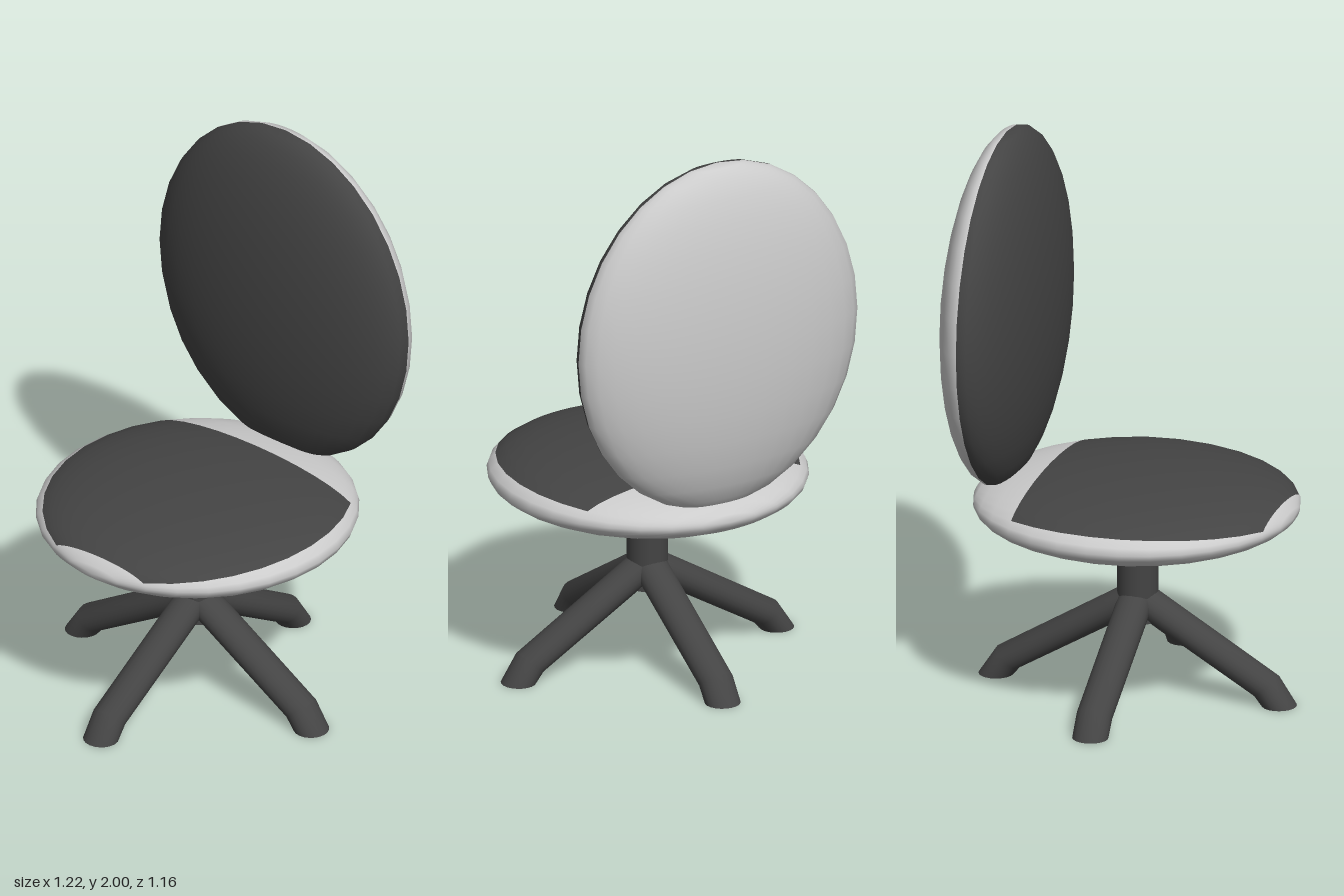
import * as THREE from 'three';
import { toCreasedNormals } from 'three/addons/utils/BufferGeometryUtils.js';

const RAD = Math.PI / 180;
const grey = new THREE.MeshStandardMaterial({ color: 0xcccccc });
const dark = new THREE.MeshStandardMaterial({ color: 0x444444 });

// Patch of a 32 x 16 sphere, bounded by angles in degrees
function patch(phi0, phi1, theta0, theta1) {
  const step = 11.25;
  return new THREE.SphereGeometry(
    1, Math.round((phi1 - phi0) / step), Math.round((theta1 - theta0) / step),
    phi0 * RAD, (phi1 - phi0) * RAD, theta0 * RAD, (theta1 - theta0) * RAD);
}

function add(parent, name, geometry, material) {
  const mesh = new THREE.Mesh(geometry, material);
  mesh.name = name;
  parent.add(mesh);
  return mesh;
}

// Leg running out along +x: oval sections given by top and bottom points [x, y]
function legGeometry() {
  const halfWidth = 0.063, sides = 20;
  const sections = [
    [[0, 0.41], [0, 0.285]],
    [[0.512, 0.1], [0.43, 0.03]],
    [[0.578, 0], [0.455, 0]],
    [[0.516, 0], [0.516, 0]], // closes the sole
  ];
  const positions = [], index = [];
  sections.forEach(([top, bottom], i) => {
    const width = i === 3 ? 0 : halfWidth;
    for (let j = 0; j < sides; j++) {
      const a = (j / sides) * Math.PI * 2, t = (1 - Math.cos(a)) / 2;
      positions.push(
        THREE.MathUtils.lerp(top[0], bottom[0], t),
        THREE.MathUtils.lerp(top[1], bottom[1], t),
        width * Math.sin(a));
      if (i === 3) continue;
      const k = (j + 1) % sides;
      const p = i * sides + j, q = i * sides + k;
      index.push(p, q, p + sides);
      if (i < 2) index.push(q, q + sides, p + sides);
    }
  });
  const geometry = new THREE.BufferGeometry();
  geometry.setAttribute('position', new THREE.Float32BufferAttribute(positions, 3));
  geometry.setIndex(index);
  return toCreasedNormals(geometry, 0.5);
}

export function createModel() {
  const model = new THREE.Group();
  model.name = 'chair';

  // Seat: flattened sphere with its poles along x and a dark pad on top
  const seat = new THREE.Group();
  seat.name = 'seat';
  seat.position.set(-0.03, 0.69, 0);
  const seatPatches = [
    ['seatShell', [247.5, 472.5, 0, 180], grey],
    ['seatEdge', [112.5, 247.5, 0, 22.5], grey],
    ['seatRear', [112.5, 247.5, 123.75, 180], grey],
    ['seatPad', [112.5, 247.5, 22.5, 123.75], dark],
  ];
  for (const [name, range, material] of seatPatches) {
    add(seat, name, patch(...range).rotateZ(Math.PI / 2).scale(0.57, 0.125, 0.555), material);
  }
  model.add(seat);

  // Backrest: upright flattened sphere, dark on the side facing the seat
  const backrest = new THREE.Group();
  backrest.name = 'backrest';
  backrest.position.set(0.445, 1.36, 0);
  add(backrest, 'backrestPad', patch(-90, 90, 0, 180).scale(0.162, 0.64, 0.555), dark);
  add(backrest, 'backrestShell', patch(90, 270, 0, 180).scale(0.162, 0.64, 0.555), grey);
  model.add(backrest);

  // Base: central column and four splayed legs with bent feet
  const base = new THREE.Group();
  base.name = 'base';
  base.position.x = -0.033;
  const column = add(base, 'column', new THREE.CylinderGeometry(0.072, 0.072, 0.34, 32), dark);
  column.position.y = 0.43;
  const leg = legGeometry();
  for (let i = 0; i < 4; i++) {
    add(base, 'leg', leg, dark).rotation.y = (i * Math.PI) / 2;
  }
  model.add(base);

  return model;
}
